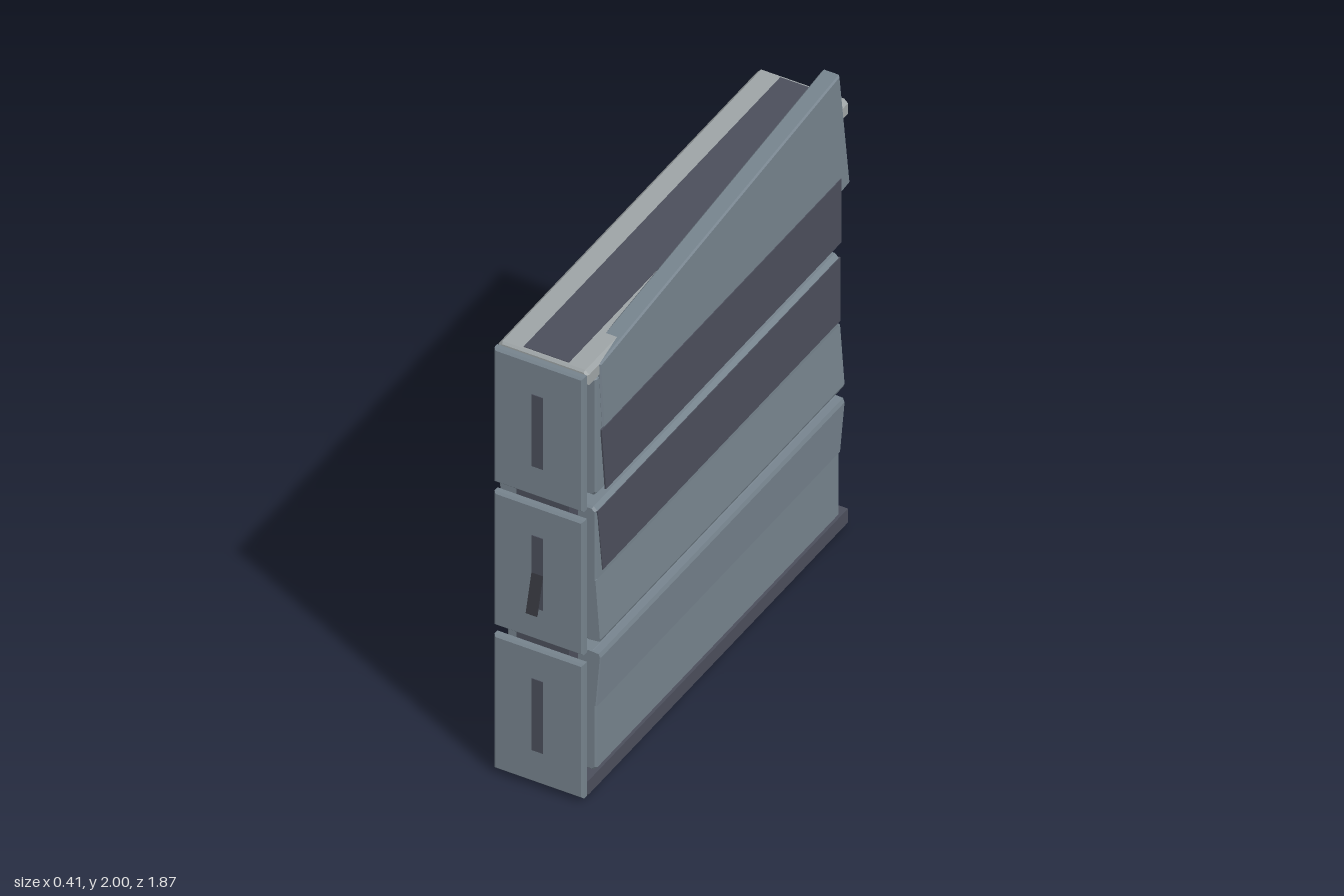
import * as THREE from 'three';

const material = (name, color) => {
  const m = new THREE.MeshStandardMaterial({ color });
  m.name = name;
  return m;
};

export function createModel() {
  const root = new THREE.Group();
  root.name = 'panelledCabinet';
  const body = new THREE.Group();
  body.name = 'cabinetBody';
  body.position.x = 0.005;
  root.add(body);

  const panelMat = material('blue grey panel', 0x75828c);
  const darkMat = material('dark slate', 0x4b4e5b);
  const capMat = material('pale grey', 0x9da3a5);
  const handleMat = material('charcoal', 0x35363e);

  const add = (name, geo, mat) => {
    const mesh = new THREE.Mesh(geo, mat);
    mesh.name = name;
    body.add(mesh);
    return mesh;
  };
  const box = (name, mat, x0, x1, y0, y1, z0, z1) =>
    add(name, new THREE.BoxGeometry(x1 - x0, y1 - y0, z1 - z0), mat)
      .position.set((x0 + x1) / 2, (y0 + y1) / 2, (z0 + z1) / 2);

  // Outline extruded from z0 to z1, with chamfers kept inside its size
  const prism = (points, z0, z1, bevel) => {
    const shape = new THREE.Shape(points.map(([x, y]) => new THREE.Vector2(x, y)));
    const geo = new THREE.ExtrudeGeometry(shape, {
      depth: z1 - z0 - 2 * bevel, bevelEnabled: bevel > 0, bevelSize: bevel,
      bevelThickness: bevel, bevelOffset: -bevel, bevelSegments: 1,
    });
    return geo.translate(0, 0, z0 + bevel);
  };
  const rect = (x0, x1, y0, y1) => [[x0, y0], [x1, y0], [x1, y1], [x0, y1]];

  // Core, plinth and cap
  box('core', darkMat, -0.105, 0.105, 0.02, 1.8, -0.92, 0.865);
  add('plinth', prism([[-0.165, 0], [0.165, 0], [0.18, 0.02], [0.18, 0.08], [-0.18, 0.08], [-0.18, 0.02]],
    -0.93, 0.865, 0.008), darkMat);
  add('cap', prism([[-0.18, 1.79], [0.18, 1.79], [0.18, 1.835], [0.165, 1.85], [-0.165, 1.85], [-0.18, 1.835]],
    -0.93, 0.865, 0.008), capMat);
  box('capInlay', darkMat, -0.085, 0.095, 1.846, 1.852, -0.915, 0.85);

  // Side panels: [y bottom, y top] of each tier
  const tiers = [[0.08, 0.6], [0.64, 1.22], [1.27, 1.79]];
  for (const side of [-1, 1]) {
    for (const [y0, y1] of tiers) {
      const outline = [[0.09, y0], [0.163, y0], [0.178, y0 + 0.015], [0.178, y1 - 0.015], [0.163, y1], [0.09, y1]];
      add(side > 0 ? 'leftSidePanel' : 'rightSidePanel',
        prism(outline.map(([x, y]) => [x * side, y]), -0.87, 0.805, 0.008), panelMat);
    }
  }

  // Loosened plates standing out from the side panels
  const loose = (name, points) => add(name, prism(points, -0.875, 0.805, 0.004), panelMat);
  loose('rightLoosePlate', [[-0.12, 0.935], [-0.178, 0.93], [-0.21, 1.2], [-0.2, 1.215], [-0.15, 1.22]]);
  loose('leftMiddleLoosePlate', [[0.14, 0.64], [0.19, 0.645], [0.196, 0.66], [0.178, 0.91], [0.14, 0.91]]);
  loose('leftLowerLoosePlate', [[0.14, 0.36], [0.178, 0.36], [0.196, 0.58], [0.19, 0.597], [0.14, 0.6]]);

  // Upper left plate, tilted so its back corner rises above the cap
  const tilted = prism([[-0.75, 1.33], [0.93, 1.49], [0.86, 2.0], [-0.79, 1.835]], 0.115, 0.185, 0.006);
  add('tiltedPlate', tilted.rotateY(Math.PI / 2), panelMat);

  // Dark bands on the left side
  const band = (name, y0, y1, zTop, zBottom, zBack, x) => {
    const geo = prism([[-zBottom, y0], [-zBack, y0], [-zBack, y1], [-zTop, y1]], x, x + 0.006, 0);
    add(name, geo.rotateY(Math.PI / 2), darkMat);
  };
  band('upperDarkBand', 1.275, 1.55, 0.785, 0.755, -0.865, 0.182);
  band('middleDarkBand', 0.93, 1.205, 0.8, 0.765, -0.868, 0.175);

  // Front panels with inset grips
  [[0.02, 0.6, 0.16], [0.64, 1.22, 0.78], [1.26, 1.84, 1.39]].forEach(([y0, y1, grip]) => {
    add('frontPanel', prism(rect(-0.178, 0.178, y0, y1), 0.862, 0.897, 0.008), panelMat);
    box('gripInset', darkMat, -0.025, 0.02, grip, grip + 0.31, 0.893, 0.9);
  });

  // Middle handle swung outwards
  const handle = add('openHandle', new THREE.BoxGeometry(0.044, 0.155, 0.006), handleMat);
  handle.position.set(-0.002, 0.855, 0.919);
  handle.rotation.x = -0.26;

  return root;
}
